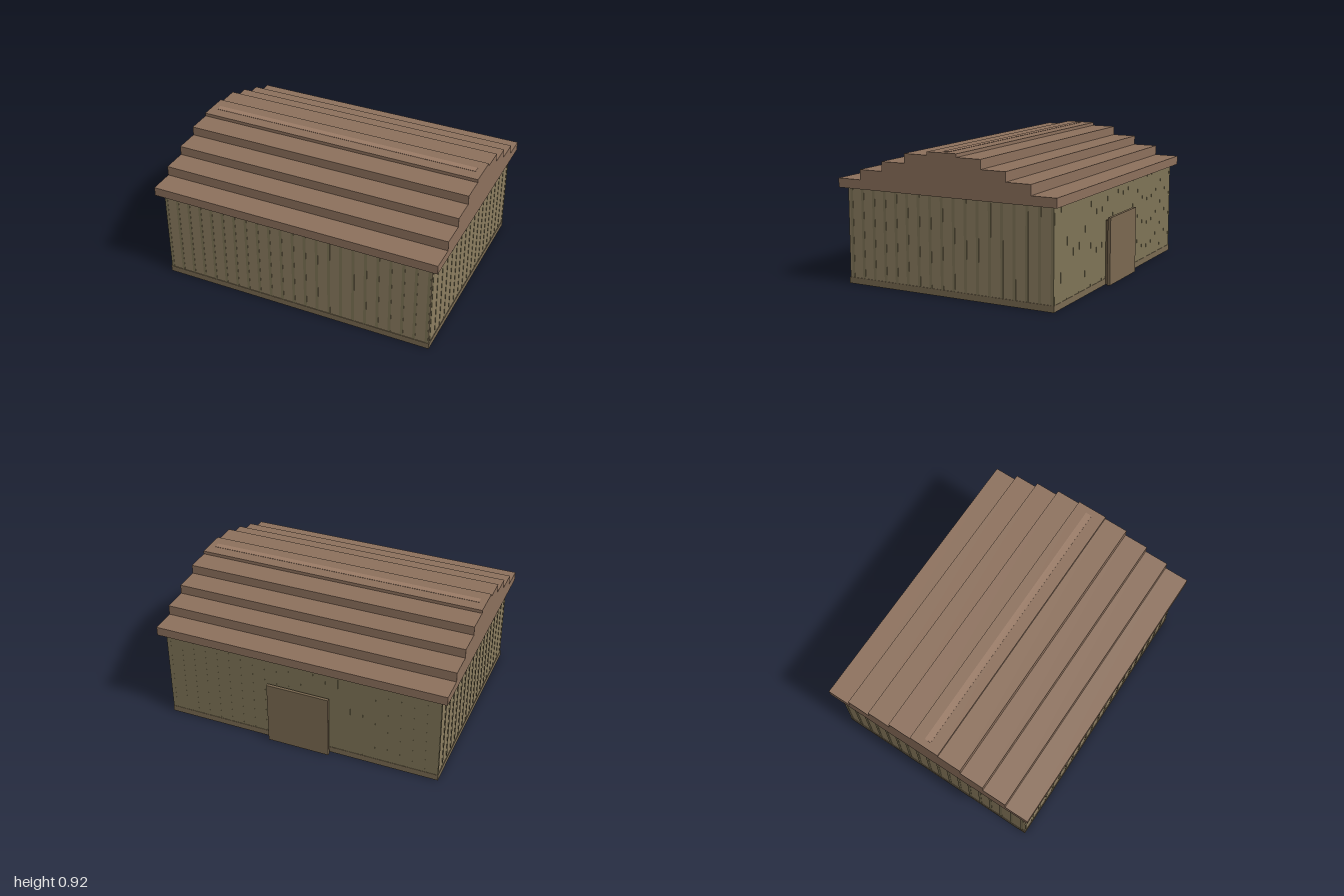
import * as THREE from 'three';

const paint = (color) => new THREE.MeshStandardMaterial({ color });

export function createModel() {
  const group = new THREE.Group();
  group.name = 'shed';
  const wallMat = paint(0x8c7d60), ribMat = paint(0x7e7456), baseMat = paint(0x796a51);
  const roofMat = paint(0x8c705c), ridgeMat = paint(0x9a7b66);
  const doorMat = paint(0x7a6850), frameMat = paint(0x63533f);

  const box = (name, mat, [w, h, d], [x, y, z], parent = group) => {
    const mesh = new THREE.Mesh(new THREE.BoxGeometry(w, h, d), mat);
    mesh.name = name;
    mesh.position.set(x, y + h / 2, z); // y is the underside
    parent.add(mesh);
    return mesh;
  };

  // Walls with a thin base band
  const W = 1.908, D = 1.488, H = 0.645, proud = 0.002;
  box('walls', wallMat, [W, H, D], [0, 0, 0]);
  box('baseBand', baseMat, [W + 4 * proud, 0.042, D + 4 * proud], [0, 0, 0]);

  // Vertical ribs; each thin slab shows on both opposite walls
  const ribs = new THREE.Group();
  ribs.name = 'wallRibs';
  group.add(ribs);
  const step = 0.0855, ribW = 0.02;
  for (let i = 0; i < 23; i++) {
    box('rib', ribMat, [ribW, H - 0.002, D + 2 * proud], [-0.943 + i * step, 0.001, 0], ribs);
  }
  for (let i = 0; i < 18; i++) {
    box('rib', ribMat, [W + 2 * proud, H - 0.002, ribW], [0, 0.001, 0.718 - i * step], ribs);
  }

  // Stepped roof: half profile mirrored, extruded along x
  const steps = [[0.785, 0.703], [0.615, 0.77], [0.445, 0.833], [0.275, 0.895], [0.106, 0.917]];
  const right = [];
  let y = 0.642;
  for (const [z, top] of steps) {
    right.push(new THREE.Vector2(z, y), new THREE.Vector2(z, top));
    y = top;
  }
  const left = right.map((p) => new THREE.Vector2(-p.x, p.y)).reverse();
  const roofGeo = new THREE.ExtrudeGeometry(new THREE.Shape([...right, ...left]), {
    depth: 2, bevelEnabled: false,
  });
  roofGeo.translate(0, 0, -1).rotateY(Math.PI / 2);
  const roof = new THREE.Mesh(roofGeo, roofMat);
  roof.name = 'steppedRoof';
  group.add(roof);

  // Pale strip along the ridge
  box('ridgeStrip', ridgeMat, [W, 0.01, 0.045], [0, 0.909, 0]);

  // Back door: backing frame and larger outer panel
  box('doorFrame', frameMat, [0.4, 0.43, 0.03], [0, 0, -0.752]);
  box('doorPanel', doorMat, [0.43, 0.45, 0.02], [0, 0, -0.775]);

  return group;
}
